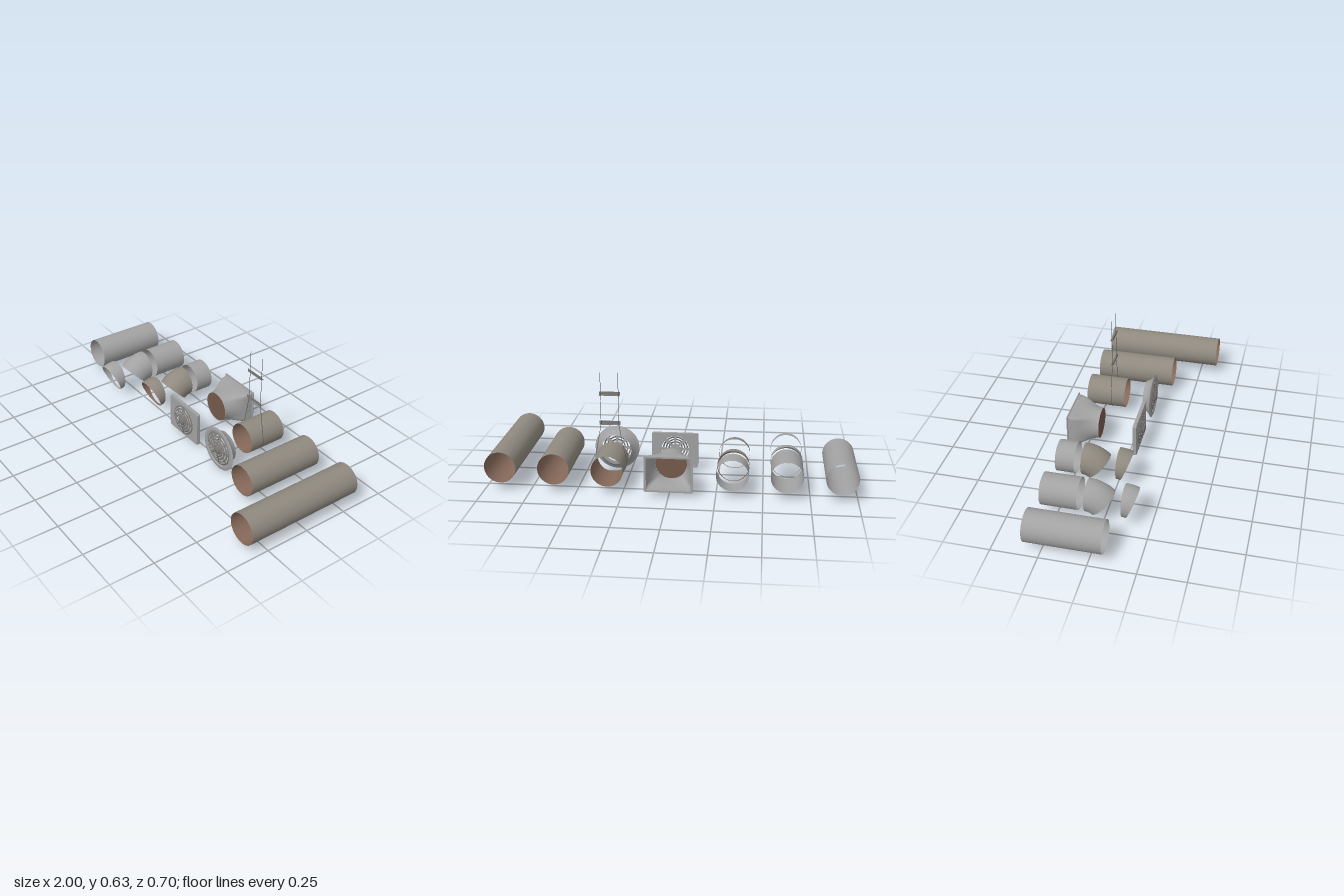
import * as THREE from 'three';

const R = 0.0865, CY = 0.131;
const mat = (name, color, side = THREE.DoubleSide) => {
  const m = new THREE.MeshStandardMaterial({ color, side });
  m.name = name;
  return m;
};

export function createModel() {
  const zinc = mat('zinc grey', 0xa2a2a2);
  const coat = mat('taupe coating', 0x8f897f, THREE.FrontSide);
  const lining = mat('brown lining', 0x86695a, THREE.BackSide);
  const filterBrown = mat('filter brown', 0x745a4b);
  const louvre = mat('louvre grey', 0x7c7a77);
  const steel = mat('dark steel', 0x5a5a5a);
  const root = new THREE.Group();

  const group = (name, x, y = CY, z = 0) => {
    const g = new THREE.Group();
    g.name = name;
    g.position.set(x, y, z);
    root.add(g);
    return g;
  };
  const add = (parent, name, geo, m, x = 0, y = 0, z = 0) => {
    const mesh = new THREE.Mesh(geo, m);
    mesh.name = name;
    mesh.position.set(x, y, z);
    parent.add(mesh);
    return mesh;
  };
  // Revolve (radius, z) points about the z axis
  const lathe = (pts, n = 64) =>
    new THREE.LatheGeometry(pts.map(p => new THREE.Vector2(...p)), n).rotateX(Math.PI / 2);

  // Sheet-metal shell: one colour, or coated outside with a brown lining
  const shell = (parent, name, make, coated) => {
    if (!coated) return add(parent, name, make(R), zinc);
    add(parent, name, make(R), coat);
    add(parent, name + ' lining', make(R - 0.0005), lining);
  };
  const pipe = (name, x, z0, z1, coated) => shell(group(name, x, CY, (z0 + z1) / 2), name,
    r => new THREE.CylinderGeometry(r, r, z1 - z0, 64, 1, true).rotateX(Math.PI / 2), coated);

  // Elbow turning downwards from a vertical rear opening
  const BEND = 0.03 + R;
  const turn = new THREE.Matrix4().makeBasis(
    new THREE.Vector3(0, 1, 0), new THREE.Vector3(0, 0, 1), new THREE.Vector3(1, 0, 0));
  const elbow = (name, x, z, angle, coated) => shell(group(name, x, CY - BEND, z), name,
    r => new THREE.TorusGeometry(BEND, r, 64, 16, angle).applyMatrix4(turn), coated);

  // Straight ducts
  pipe('short plain duct', -0.913, -0.331, 0.073, false);
  pipe('elbow duct', -0.625, -0.331, -0.13, false);
  pipe('collar duct', -0.337, -0.331, -0.226, false);
  pipe('hung duct', 0.332, -0.331, -0.108, true);
  pipe('medium coated duct', 0.622, -0.331, 0.121, true);
  pipe('long coated duct', 0.913, -0.331, 0.35, true);

  // Elbows
  elbow('plain wide elbow', -0.625, -0.094, Math.PI / 4, false);
  elbow('plain slight elbow', -0.625, 0.101, Math.PI / 8, false);
  elbow('coated wide elbow', -0.337, -0.189, Math.PI / 4, true);
  elbow('coated slight elbow', -0.337, 0.003, Math.PI / 8, true);

  // Rounded rectangle outline, optionally with a hole
  const roundedRect = (w, h, c) => {
    const s = new THREE.Shape();
    s.moveTo(-w + c, -h);
    [[w - c, -h, w, -h, w, -h + c], [w, h - c, w, h, w - c, h],
      [-w + c, h, -w, h, -w, h - c], [-w, -h + c, -w, -h, -w + c, -h]].forEach(p => {
      s.lineTo(p[0], p[1]);
      s.quadraticCurveTo(p[2], p[3], p[4], p[5]);
    });
    return s;
  };
  const extrude = (shape, depth) =>
    new THREE.ExtrudeGeometry(shape, { depth, bevelEnabled: false, curveSegments: 24 });
  const frame = (w, h, c, hole, depth) => {
    const s = roundedRect(w, h, c);
    s.holes.push(hole);
    return extrude(s, depth);
  };

  // Rectangle-to-round adapter, lofted in rings
  const adapter = group('adapter', 0);
  const zBack = -0.331, zFront = -0.178, W = 0.121, H = 0.093, N = 80, M = 14;
  const pos = [], idx = [];
  for (let j = 0; j <= M; j++) {
    const t = j / M, k = t * t * (3 - 2 * t);
    for (let i = 0; i <= N; i++) {
      const a = i / N * Math.PI * 2, c = Math.cos(a), s = Math.sin(a);
      const d = Math.pow(Math.pow(Math.abs(c), 24) + Math.pow(Math.abs(s), 24), -1 / 24);
      pos.push(THREE.MathUtils.lerp(W * c * d, R * c, k),
        THREE.MathUtils.lerp(H * s * d, R * s, k), THREE.MathUtils.lerp(zBack, zFront, t));
      if (j < M && i < N) {
        const p = j * (N + 1) + i, q = p + N + 1;
        idx.push(p, p + 1, q, p + 1, q + 1, q);
      }
    }
  }
  const loft = new THREE.BufferGeometry();
  loft.setAttribute('position', new THREE.Float32BufferAttribute(pos, 3));
  loft.setIndex(idx);
  loft.computeVertexNormals();
  add(adapter, 'adapter body', loft, zinc);
  add(adapter, 'adapter collar', frame(0.122, 0.094, 0.008, roundedRect(0.119, 0.091, 0.007), 0.012), zinc, 0, 0, -0.343);
  add(adapter, 'adapter flange', frame(0.131, 0.1, 0.008, roundedRect(0.119, 0.091, 0.007), 0.006), zinc, 0, 0, -0.349);
  add(adapter, 'filter disc', new THREE.CircleGeometry(R - 0.001, 64), filterBrown, 0, 0, zFront - 0.003);

  // Round grille: slotted back plate, conical louvre rings and hub
  const grille = (parent, rMax, z) => {
    const plate = new THREE.Shape().absarc(0, 0, rMax, 0, Math.PI * 2);
    for (let i = 0; i < 8; i++) {
      const a = (i + 0.5) * Math.PI / 4, w = 0.27;
      const slot = new THREE.Path();
      slot.absarc(0, 0, rMax * 0.88, a - w, a + w, false);
      slot.absarc(0, 0, rMax * 0.34, a + w, a - w, true);
      slot.closePath();
      plate.holes.push(slot);
    }
    add(parent, 'spoke plate', extrude(plate, 0.003), zinc, 0, 0, z);
    for (let i = 0; i < 4; i++) {
      const r = rMax * (0.42 + i * 0.175), zr = z + 0.023 * (1 - r / rMax) + 0.005;
      add(parent, 'louvre ring', lathe([[r - 0.004, zr + 0.003], [r + 0.004, zr], [r + 0.004, zr - 0.002]]), louvre);
    }
    for (let i = 0; i < 8; i++) {
      const rib = add(parent, 'rib', new THREE.BoxGeometry(rMax * 0.8, 0.004, 0.005), louvre);
      const a = i * Math.PI / 4;
      rib.position.set(Math.cos(a) * rMax * 0.58, Math.sin(a) * rMax * 0.58, z + 0.012);
      rib.rotation.set(0, 0.2, a, 'ZYX');
    }
    add(parent, 'hub', lathe([[0, z + 0.029], [rMax * 0.22, z + 0.026], [rMax * 0.28, z + 0.02], [rMax * 0.28, z]], 32), louvre);
  };

  // Rectangular wall grille
  const wall = group('wall grille', 0);
  const round = new THREE.Path().absarc(0, 0, 0.087, 0, Math.PI * 2);
  add(wall, 'grille frame', frame(0.13, 0.1, 0.012, round, 0.009), zinc, 0, 0, 0.042);
  add(wall, 'grille rim', frame(0.131, 0.101, 0.012, roundedRect(0.12, 0.09, 0.01), 0.016), zinc, 0, 0, 0.031);
  grille(wall, 0.088, 0.047);

  // Flared round diffuser
  const diffuser = group('round diffuser', 0.332);
  add(diffuser, 'flared horn', lathe([[R, 0.003], [0.091, 0.015], [0.1, 0.03], [0.112, 0.042], [0.127, 0.052]]), zinc);
  add(diffuser, 'front rim', lathe([[0.127, 0.052], [0.116, 0.057], [0.1, 0.058], [0.096, 0.05]]), zinc);
  grille(diffuser, 0.098, 0.046);

  // Ceiling hanger: rods, angle bars, nuts, slings and strap
  const hanger = group('hanger', 0.332, 0, -0.186);
  const rod = (name, a, b, r) => {
    const p = new THREE.Vector3(...a), q = new THREE.Vector3(...b);
    add(hanger, name, new THREE.TubeGeometry(new THREE.LineCurve3(p, q), 1, r, 8), steel);
  };
  for (const y of [0.347, 0.511]) {
    add(hanger, 'bar shelf', new THREE.BoxGeometry(0.113, 0.002, 0.015), louvre, 0, y, 0);
    add(hanger, 'bar upright', new THREE.BoxGeometry(0.113, 0.018, 0.002), louvre, 0, y + 0.009, 0.0075);
  }
  for (const s of [-1, 1]) {
    rod('rod', [s * 0.048, 0.342, 0], [s * 0.048, 0.636, 0], 0.0013);
    rod('sling', [s * 0.048, 0.347, 0], [s * 0.084, 0.153, 0], 0.0013);
    for (const y of [0.347, 0.511])
      add(hanger, 'nut', new THREE.CylinderGeometry(0.0045, 0.0045, 0.008, 6), steel, s * 0.048, y, 0);
  }
  const strap = add(hanger, 'strap', new THREE.TorusGeometry(R + 0.0006, 0.0012, 6, 48, Math.PI + 0.5), steel, 0, CY, 0);
  strap.rotation.z = Math.PI - 0.25;

  return root;
}
